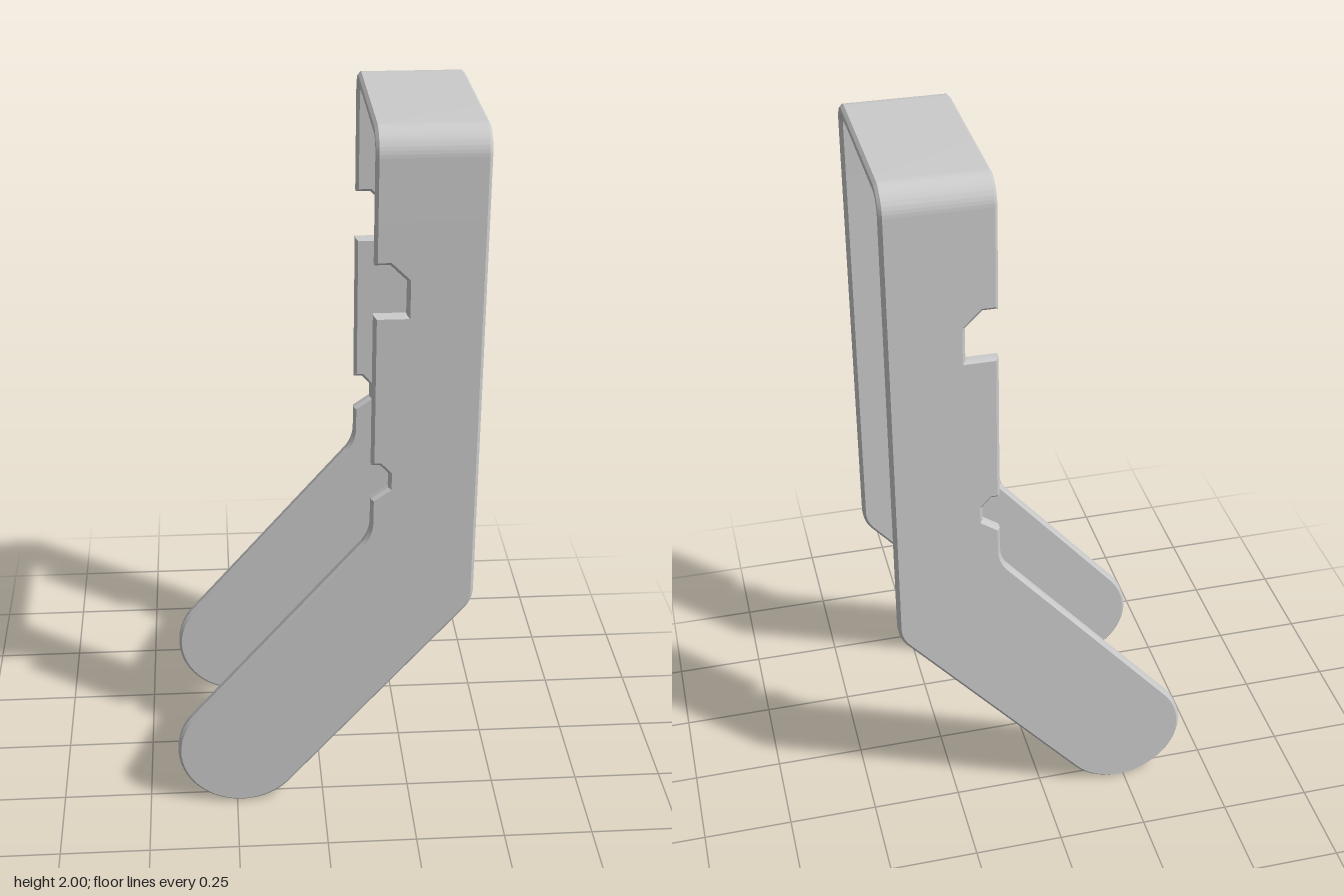
import * as THREE from 'three';
import { toCreasedNormals } from 'three/addons/utils/BufferGeometryUtils.js';

const FRONT = 0.125, BACK = 0.412;          // x limits of the upright strap
const OUTER = 0.296, THICK = 0.033;         // outer z and sheet thickness
const CHAMFER = 0.008, R = 0.18;
const C = new THREE.Vector2(-0.235, R);     // centre of the rounded foot
const ALONG = new THREE.Vector2(0.651, 0.759);
const ACROSS = new THREE.Vector2(0.759, -0.651);

// point on the lower leg: t along it, d across it from its centre line
const legPoint = (t, d) => C.clone().addScaledVector(ALONG, t).addScaledVector(ACROSS, d);

// round-ended groove cut in from one edge (side +1 lower, -1 upper)
function cutGroove(shape, t, side) {
  const w = 0.013, deep = R - 0.058, dir = side;
  const line = (a, d) => { const p = legPoint(a, d); shape.lineTo(p.x, p.y); };
  line(t + dir * w, side * R);
  for (let i = 0; i <= 8; i++) {
    const a = (i / 8) * Math.PI;
    line(t + dir * w * Math.cos(a), side * (deep - w * Math.sin(a)));
  }
  line(t - dir * w, side * R);
}

// side outline, running counter-clockwise from the top front corner
function sideOutline(upperGrooves, lowerGrooves) {
  const s = new THREE.Shape();
  s.moveTo(BACK, 1.92);
  s.lineTo(FRONT, 1.92);
  // upper and lower notches in the front edge
  [[FRONT, 1.652], [0.165, 1.652], [0.21, 1.608], [0.21, 1.515], [FRONT, 1.515],
    [FRONT, 1.087], [0.148, 1.087], [0.172, 1.06], [0.172, 1.018], [FRONT, 0.985],
    [FRONT, 0.92]].forEach(([x, y]) => s.lineTo(x, y));
  // bend into the slanted leg
  const bend = legPoint(0.725, -R);
  s.quadraticCurveTo(FRONT, 0.876, bend.x, bend.y);
  upperGrooves.forEach(t => cutGroove(s, t, -1));
  // rounded foot
  const a = Math.atan2(ACROSS.y, ACROSS.x);
  const start = legPoint(0, -R);
  s.lineTo(start.x, start.y);
  s.absarc(C.x, C.y, R, a + Math.PI, a + 2 * Math.PI, false);
  lowerGrooves.forEach(t => cutGroove(s, t, 1));
  // rear bend
  const heel = legPoint(0.742, R);
  s.lineTo(heel.x, heel.y);
  s.quadraticCurveTo(BACK, 0.656, BACK, 0.695);
  s.closePath();
  return s;
}

// extrusion centred on z, with chamfered rims that stay inside the outline
function sheet(shape, thickness, chamfer) {
  const depth = thickness - 2 * chamfer;
  const g = new THREE.ExtrudeGeometry(shape, {
    depth, curveSegments: 24, bevelEnabled: chamfer > 0,
    bevelThickness: chamfer, bevelSize: chamfer, bevelOffset: -chamfer, bevelSegments: 1,
  });
  g.translate(0, 0, -depth / 2);
  return toCreasedNormals(g, 0.5);
}

// U-shaped bend joining both side plates
function bridgeShape() {
  const s = new THREE.Shape(), ro = 0.07, ri = ro - THICK;
  const cz = OUTER - ro, cy = 2 - ro, low = 1.75, inner = OUTER - THICK;
  s.moveTo(inner, low);
  s.lineTo(OUTER, low);
  s.absarc(cz, cy, ro, 0, Math.PI / 2, false);
  s.absarc(-cz, cy, ro, Math.PI / 2, Math.PI, false);
  s.lineTo(-OUTER, low);
  s.lineTo(-inner, low);
  s.absarc(-cz, cy, ri, Math.PI, Math.PI / 2, true);
  s.absarc(cz, cy, ri, Math.PI / 2, 0, true);
  s.closePath();
  return s;
}

export function createModel() {
  const model = new THREE.Group();
  model.name = 'bentStrapBracket';
  const material = new THREE.MeshStandardMaterial({ color: 0xcccccc });
  const add = (parent, name, geometry, z = 0) => {
    const m = new THREE.Mesh(geometry, material);
    m.name = name;
    m.position.z = z;
    parent.add(m);
    return m;
  };

  // top bridge
  const bridge = sheet(bridgeShape(), BACK - FRONT, CHAMFER);
  bridge.rotateY(-Math.PI / 2);
  bridge.translate((FRONT + BACK) / 2, 0, 0);
  add(model, 'topBridge', bridge);

  // each plate: plain core, outer skin grooved above, inner skin grooved below
  const skin = 0.0205, shift = (THICK - skin) / 2;
  const core = sheet(sideOutline([], []), 0.009, 0);
  const outerSkin = sheet(sideOutline([0.68, 0.387], []), skin, CHAMFER);
  const innerSkin = sheet(sideOutline([], [0.207, 0.51]), skin, CHAMFER);
  for (const [name, side] of [['frontPlate', 1], ['rearPlate', -1]]) {
    const plate = new THREE.Group();
    plate.name = name;
    plate.position.z = side * (OUTER - THICK / 2);
    add(plate, 'plateCore', core);
    add(plate, 'outerSkin', outerSkin, side * shift);
    add(plate, 'innerSkin', innerSkin, -side * shift);
    model.add(plate);
  }
  return model;
}
